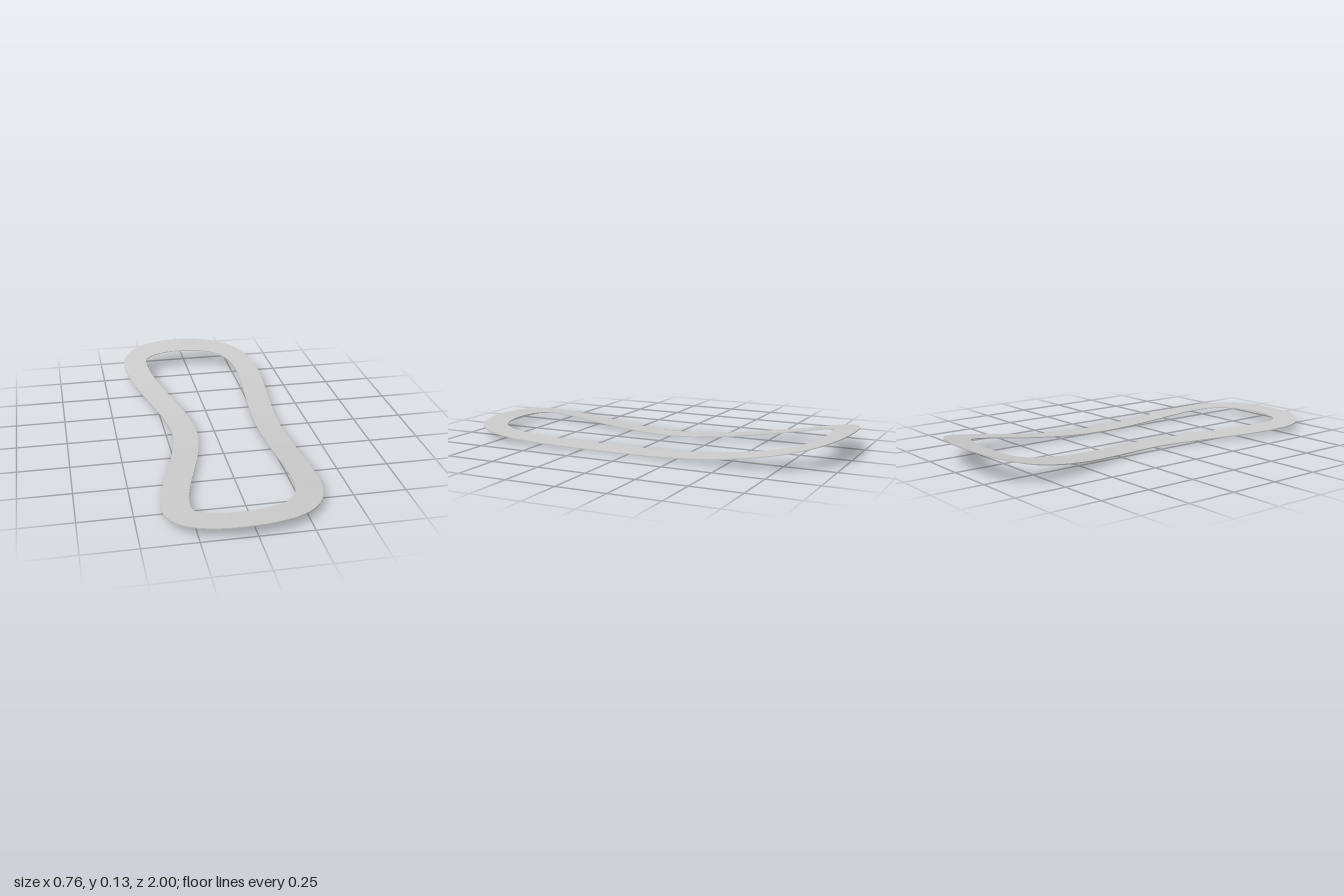
import * as THREE from 'three';

const WIDTH = 0.127, THICK = 0.005, STEPS = 28;

// Outer outline, back half, as Bezier spans [x, z]; the front half mirrors it
const spans = [
  [[-0.22, 0], [-0.22, -0.25], [-0.38, -0.55], [-0.38, -0.77]],
  [[-0.38, -0.77], [-0.38, -0.92], [-0.25, -1], [-0.06, -1]],
  [[-0.06, -1], [0.24, -1], [0.378, -0.87], [0.378, -0.58]],
  [[0.378, -0.58], [0.378, -0.38], [0.35, -0.2], [0.35, 0]],
];

// Underside height: swept up at both ends, slightly arched across
function height(x, z) {
  const lift = z > 0 ? 0.0547 * z * z - 0.0217 * z ** 4 + 0.009 * z * z
    : 0.1387 * z * z - 0.0217 * z ** 4;
  return 0.009 + lift - 0.07 * x * x;
}

function outlineCurves() {
  const curve = pts => new THREE.CubicBezierCurve(...pts.map(p => new THREE.Vector2(p[0], p[1])));
  const back = spans.map(curve);
  const front = spans.map(s => curve(s.map(([x, z]) => [x, -z]).reverse())).reverse();
  return [...back, ...front];
}

function ringGeometry() {
  // Rectangular cross-section at each step around the outline
  const sections = [];
  for (const c of outlineCurves()) {
    for (let i = 0; i < STEPS; i++) {
      const p = c.getPoint(i / STEPS), t = c.getTangent(i / STEPS);
      const ix = p.x - t.y * WIDTH, iz = p.y + t.x * WIDTH;
      const yo = height(p.x, p.y), yi = height(ix, iz);
      sections.push([
        [p.x, yo, p.y], [p.x, yo + THICK, p.y],
        [ix, yi + THICK, iz], [ix, yi, iz],
      ]);
    }
  }
  // Four separate strips (outer wall, top, inner wall, underside) keep the edges crisp
  const pos = [], index = [], n = sections.length;
  for (let k = 0; k < 4; k++) {
    const base = k * n * 2;
    for (let i = 0; i < n; i++) {
      pos.push(...sections[i][k], ...sections[i][(k + 1) % 4]);
      const a = base + i * 2, d = base + ((i + 1) % n) * 2;
      index.push(a, a + 1, d, a + 1, d + 1, d);
    }
  }
  const g = new THREE.BufferGeometry();
  g.setAttribute('position', new THREE.Float32BufferAttribute(pos, 3));
  g.setIndex(index);
  g.computeVertexNormals();
  return g;
}

export function createModel() {
  const group = new THREE.Group();
  const ring = new THREE.Mesh(ringGeometry(), new THREE.MeshStandardMaterial({ color: 0xcccccc }));
  ring.name = 'curvedRing';
  group.add(ring);
  return group;
}
